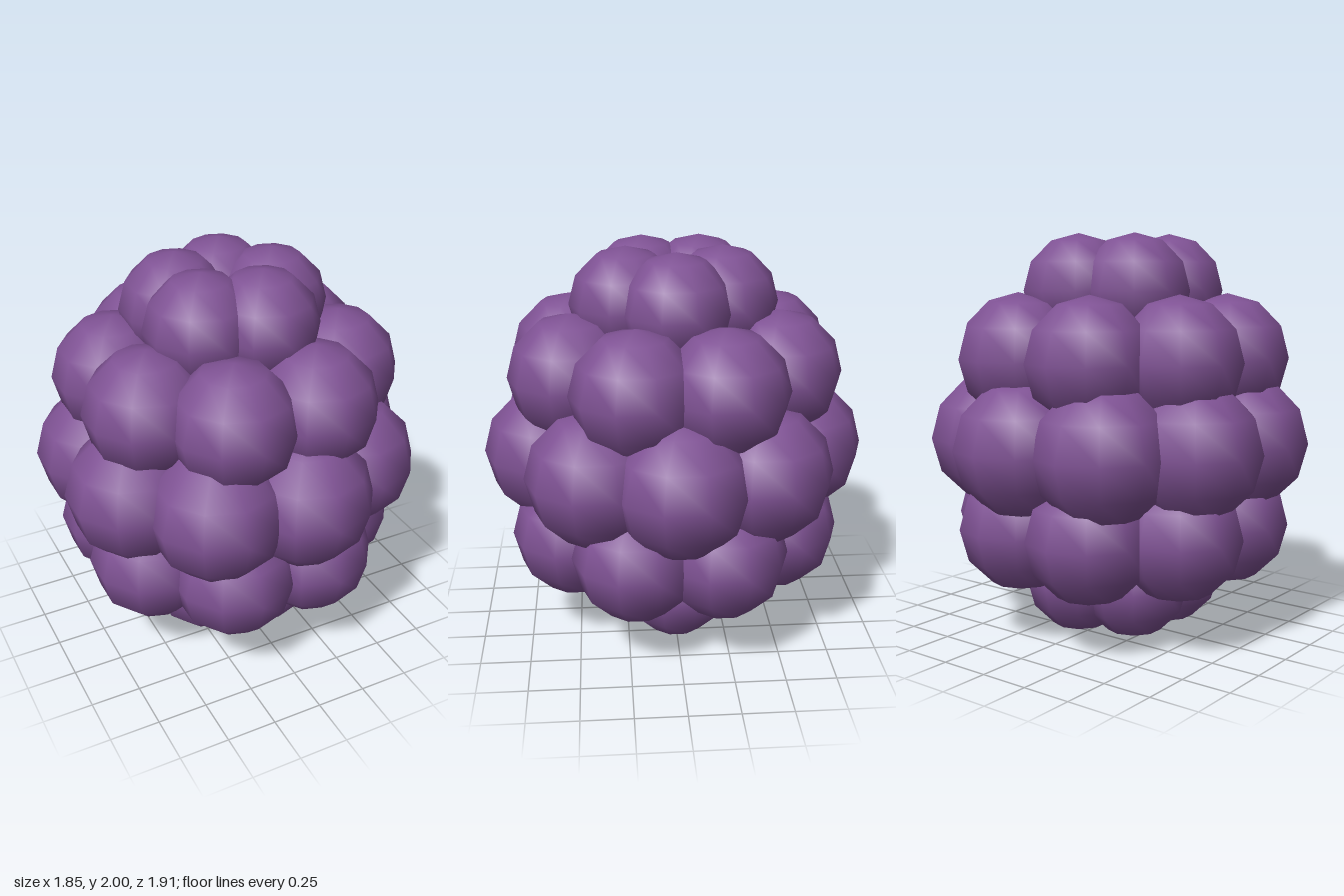
import * as THREE from 'three';

export function createModel() {
  const group = new THREE.Group();
  group.name = 'berry';
  const purple = new THREE.MeshStandardMaterial({ color: 0x7f5294 });
  purple.name = 'berry purple';

  // One drupelet, with flat edges facing left and right
  const drupelet = new THREE.SphereGeometry(1, 10, 6);
  drupelet.rotateY(Math.PI / 2);

  // Stacked rings: height, ring radius, drupelet radius, count, phase in steps
  const rings = [
    { name: 'topRing', y: 1.723, ring: 0.245, size: 0.277, count: 5, phase: 0 },
    { name: 'upperRing', y: 1.4, ring: 0.545, size: 0.31, count: 8, phase: 0.5 },
    { name: 'middleRing', y: 0.985, ring: 0.624, size: 0.338, count: 9, phase: 0 },
    { name: 'lowerRing', y: 0.572, ring: 0.552, size: 0.316, count: 8, phase: 0.5 },
    { name: 'bottomRing', y: 0.279, ring: 0.245, size: 0.277, count: 5, phase: 0 },
  ];

  for (const r of rings) {
    const ring = new THREE.Group();
    ring.name = r.name;
    ring.position.set(-0.018, r.y, 0);
    for (let i = 0; i < r.count; i++) {
      const a = ((i + r.phase) / r.count) * Math.PI * 2;
      const mesh = new THREE.Mesh(drupelet, purple);
      mesh.name = 'drupelet';
      mesh.position.set(Math.cos(a) * r.ring, 0, Math.sin(a) * r.ring);
      mesh.scale.setScalar(r.size);
      ring.add(mesh);
    }
    group.add(ring);
  }
  return group;
}
